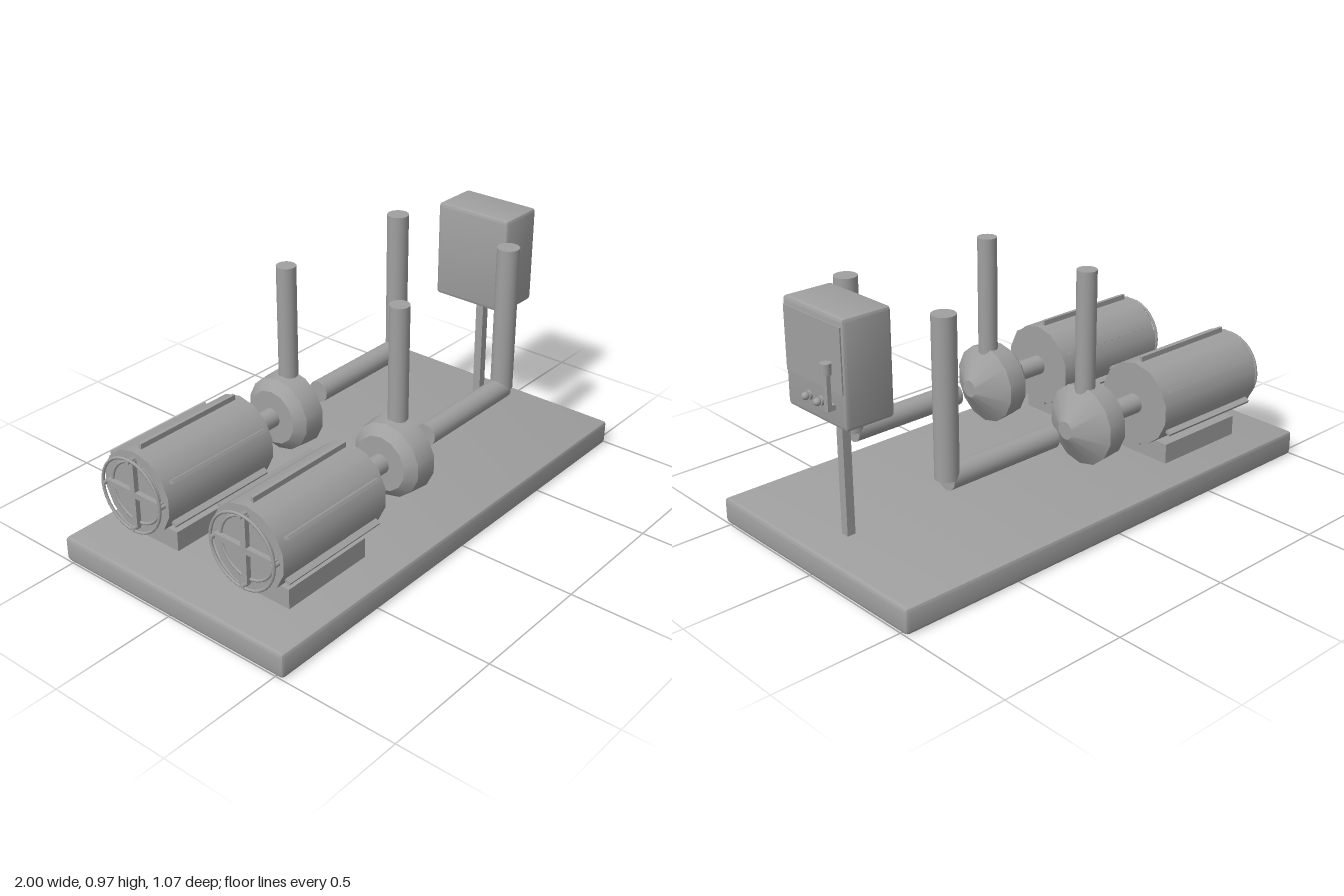
import * as THREE from 'three';
import { toCreasedNormals } from 'three/addons/utils/BufferGeometryUtils.js';
import { RoundedBoxGeometry } from 'three/addons/geometries/RoundedBoxGeometry.js';

const steel = new THREE.MeshStandardMaterial({ color: 0xa0a0a0 });
steel.name = 'steelGrey';

const AXIS_Y = 0.335; // height of the motor and pump axis

function add(parent, name, geometry, x = 0, y = 0, z = 0) {
  const mesh = new THREE.Mesh(geometry, steel);
  mesh.name = name;
  mesh.position.set(x, y, z);
  parent.add(mesh);
  return mesh;
}

const box = (w, h, d) => new THREE.BoxGeometry(w, h, d);

// Box with small flat chamfers
const chamferBox = (w, h, d, c) => toCreasedNormals(new RoundedBoxGeometry(w, h, d, 1, c), 0.4);

// Cylinder lying along x
const cylinderX = (r, length, sides = 24) =>
  new THREE.CylinderGeometry(r, r, length, sides, 1, false, Math.PI / 2).rotateZ(-Math.PI / 2);

const pipeY = (r, length) => new THREE.CylinderGeometry(r, r, length, 24);

function createPumpSet() {
  const set = new THREE.Group();
  set.name = 'pumpSet';

  // Motor body, foot and cooling fins
  add(set, 'motorFoot', box(0.4, 0.1, 0.235), -0.6, 0.13);
  add(set, 'motorBody', cylinderX(0.165, 0.53, 14), -0.605, AXIS_Y);
  for (let i = 0; i < 6; i++) {
    const a = Math.PI / 6 + (i * Math.PI) / 3;
    const fin = add(set, 'motorFin', box(0.47, 0.03, 0.013), -0.605,
      AXIS_Y + Math.sin(a) * 0.169, Math.cos(a) * 0.169);
    fin.rotation.x = Math.PI / 2 - a;
  }

  // Rear fan guard: cross bars, ring and standoffs
  const guard = new THREE.Group();
  guard.name = 'fanGuard';
  guard.position.set(0, AXIS_Y, 0);
  set.add(guard);
  add(guard, 'guardBarVertical', box(0.02, 0.27, 0.024), -0.88);
  add(guard, 'guardBarHorizontal', box(0.02, 0.024, 0.27), -0.88);
  add(guard, 'guardRing', new THREE.TorusGeometry(0.145, 0.006, 8, 32).rotateY(Math.PI / 2), -0.897);
  add(guard, 'guardInnerRing', new THREE.TorusGeometry(0.12, 0.006, 8, 32).rotateY(Math.PI / 2), -0.872);
  for (let i = 0; i < 4; i++) {
    const a = (i * Math.PI) / 2;
    add(guard, 'guardStandoff', cylinderX(0.009, 0.035, 8), -0.887,
      Math.sin(a) * 0.138, Math.cos(a) * 0.138);
  }

  // Drive shaft and tapered pump casing
  add(set, 'driveShaft', cylinderX(0.039, 0.2), -0.25, AXIS_Y);
  const profile = [[0, -0.17], [0.11, -0.17], [0.149, -0.135], [0.157, -0.05], [0.035, 0.03], [0, 0.03]]
    .map(([r, x]) => new THREE.Vector2(r, x));
  const casing = new THREE.LatheGeometry(profile, 14, Math.PI / 2).rotateZ(-Math.PI / 2);
  add(set, 'pumpCasing', toCreasedNormals(casing, 0.5), 0, AXIS_Y);

  // Discharge and suction pipes
  add(set, 'dischargePipe', pipeY(0.038, 0.6), -0.07, 0.635);
  add(set, 'suctionPipe', cylinderX(0.044, 0.5), 0.35, AXIS_Y);
  add(set, 'suctionRiser', pipeY(0.044, 0.597), 0.597, 0.6365);
  return set;
}

function createControlPanel() {
  const panel = new THREE.Group();
  panel.name = 'controlPanel';
  add(panel, 'panelPost', box(0.034, 0.5, 0.034), 0.828, 0.34);
  add(panel, 'panelCabinet', chamferBox(0.2, 0.396, 0.334, 0.014), 0.832, 0.772);
  add(panel, 'panelDoor', box(0.006, 0.235, 0.312), 0.933, 0.823);

  // Switch lever with its grip
  add(panel, 'leverPivot', box(0.03, 0.02, 0.02), 0.941, 0.65, -0.1);
  add(panel, 'switchLever', box(0.016, 0.14, 0.02), 0.955, 0.71, -0.1);
  add(panel, 'leverGrip', pipeY(0.019, 0.04), 0.957, 0.791, -0.1);

  // Domed buttons
  for (const z of [0.035, -0.032]) {
    add(panel, 'buttonCollar', cylinderX(0.017, 0.012), 0.936, 0.65, z);
    add(panel, 'button', new THREE.SphereGeometry(0.014, 16, 12), 0.95, 0.65, z);
  }
  return panel;
}

export function createModel() {
  const model = new THREE.Group();
  model.name = 'twinPumpSkid';
  add(model, 'basePlate', chamferBox(2, 0.1, 1.066, 0.014), 0, 0.05);
  for (const z of [0.267, -0.267]) {
    const set = createPumpSet();
    set.position.z = z;
    model.add(set);
  }
  model.add(createControlPanel());
  return model;
}
